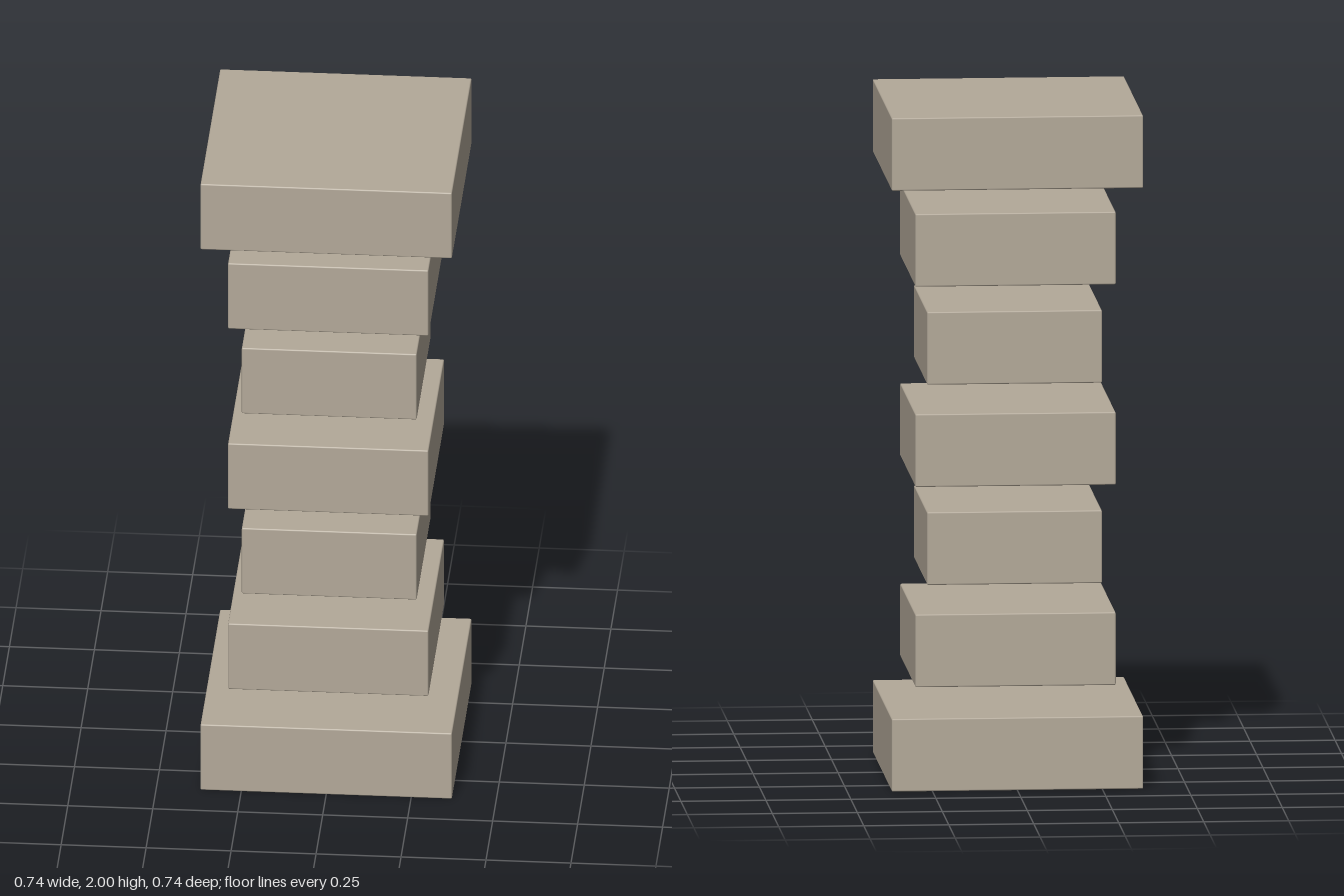
import * as THREE from 'three';
import { RoundedBoxGeometry } from 'three/addons/geometries/RoundedBoxGeometry.js';

export function createModel() {
  const group = new THREE.Group();
  group.name = 'floatingBlockPillar';
  const stone = new THREE.MeshStandardMaterial({ color: 0xb3a999 });

  const height = 0.216;
  const bevel = 0.004;
  const widths = [0.74, 0.59, 0.515, 0.59, 0.515, 0.59, 0.74];
  const pitch = (2 - height) / (widths.length - 1);

  // Square slabs with finely bevelled edges, stacked with open gaps
  widths.forEach((width, i) => {
    const slab = new THREE.Mesh(new RoundedBoxGeometry(width, height, width, 1, bevel), stone);
    slab.position.y = height / 2 + i * pitch;
    slab.name = i === 0 ? 'baseSlab' : i === widths.length - 1 ? 'capSlab' : `shaftSlab${i}`;
    group.add(slab);
  });

  return group;
}
